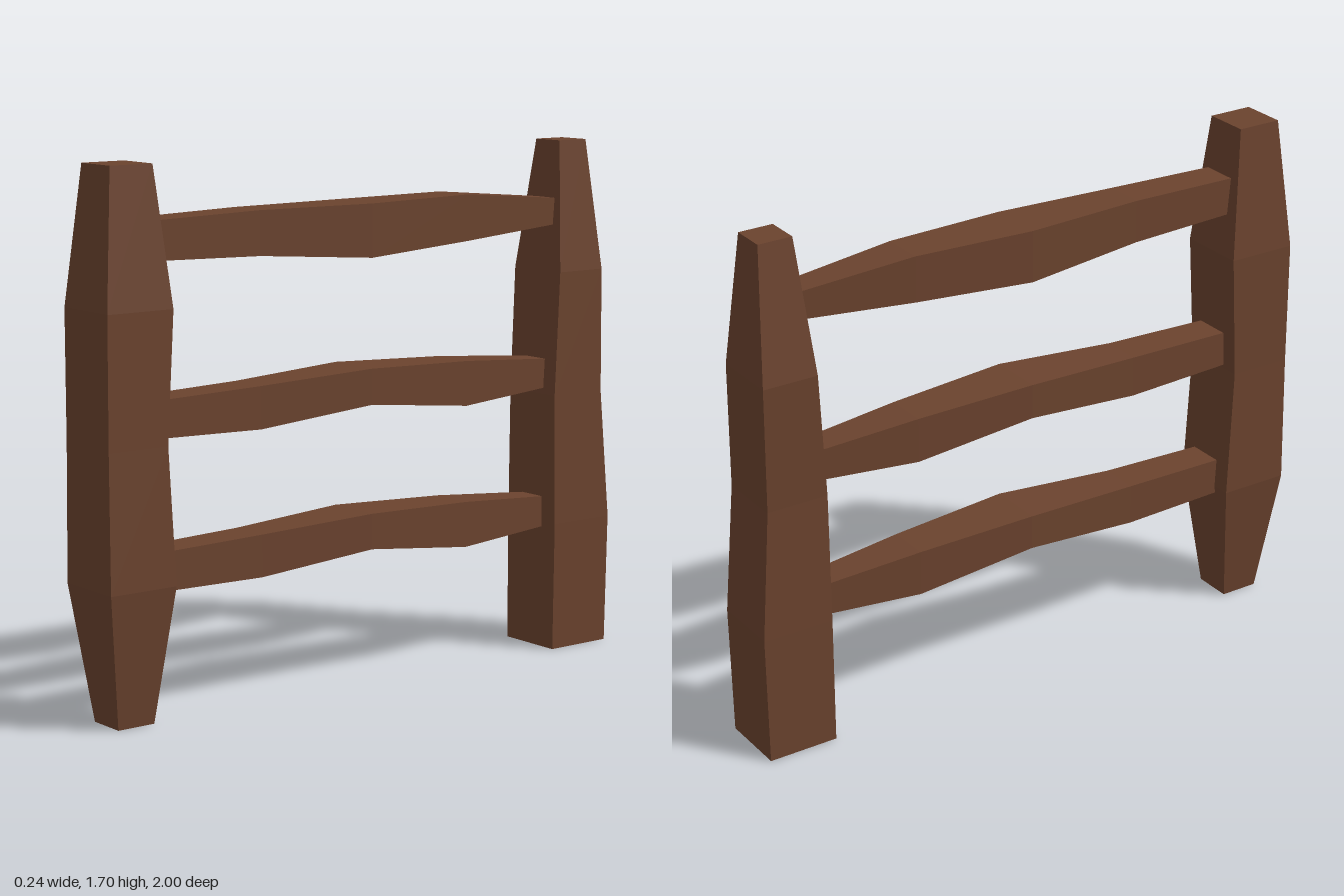
import * as THREE from 'three';

// Four-sided beam along an axis; each section is [position, xMin, xMax, otherMin, otherMax]
function beam(name, axis, sections, material) {
  const n = sections.length - 1;
  const box = axis === 'y'
    ? new THREE.BoxGeometry(1, 1, 1, 1, n, 1)
    : new THREE.BoxGeometry(1, 1, 1, 1, 1, n);
  const p = box.attributes.position;
  for (let i = 0; i < p.count; i++) {
    const x = p.getX(i), y = p.getY(i), z = p.getZ(i);
    const along = axis === 'y' ? y : z;
    const other = axis === 'y' ? z : y;
    const [t, x0, x1, o0, o1] = sections[Math.round((along + 0.5) * n)];
    const nx = x < 0 ? x0 : x1;
    const no = other < 0 ? o0 : o1;
    if (axis === 'y') p.setXYZ(i, nx, t, no);
    else p.setXYZ(i, nx, no, t);
  }
  const geometry = box.toNonIndexed();
  geometry.computeVertexNormals();
  const mesh = new THREE.Mesh(geometry, material);
  mesh.name = name;
  return mesh;
}

export function createModel() {
  const group = new THREE.Group();
  group.name = 'fence';
  const wood = new THREE.MeshStandardMaterial({ color: 0x6b432e, flatShading: true });
  wood.name = 'brown wood';

  // Front post, tapered at both ends
  group.add(beam('frontPost', 'y', [
    [0, -0.065, 0.065, 0.815, 0.945],
    [0.43, -0.12, 0.12, 0.765, 1.0],
    [0.86, -0.115, 0.115, 0.787, 0.998],
    [1.27, -0.115, 0.118, 0.765, 0.998],
    [1.7, -0.077, 0.075, 0.805, 0.955],
  ], wood));

  // Back post, broad at the foot and tapered at the top
  group.add(beam('backPost', 'y', [
    [0, -0.115, 0.115, -0.995, -0.76],
    [0.43, -0.115, 0.12, -1.0, -0.76],
    [0.86, -0.11, 0.112, -0.967, -0.76],
    [1.27, -0.12, 0.105, -0.97, -0.785],
    [1.7, -0.06, 0.055, -0.935, -0.82],
  ], wood));

  // Rails: bottom and top heights at each station from back to front
  const stations = [
    [-0.82, -0.04, 0.05], [-0.41, -0.07, 0.075], [0, -0.09, 0.1],
    [0.41, -0.065, 0.07], [0.81, -0.055, 0.065],
  ];
  const rails = {
    topRail: [[1.425, 1.51], [1.395, 1.545], [1.37, 1.54], [1.4, 1.54], [1.41, 1.53]],
    middleRail: [[0.885, 0.975], [0.858, 1.005], [0.905, 1.02], [0.865, 1.0], [0.875, 0.99]],
    bottomRail: [[0.415, 0.51], [0.39, 0.54], [0.44, 0.555], [0.4, 0.535], [0.405, 0.525]],
  };
  for (const [name, heights] of Object.entries(rails)) {
    group.add(beam(name, 'z', stations.map((s, i) => [...s, ...heights[i]]), wood));
  }
  return group;
}
